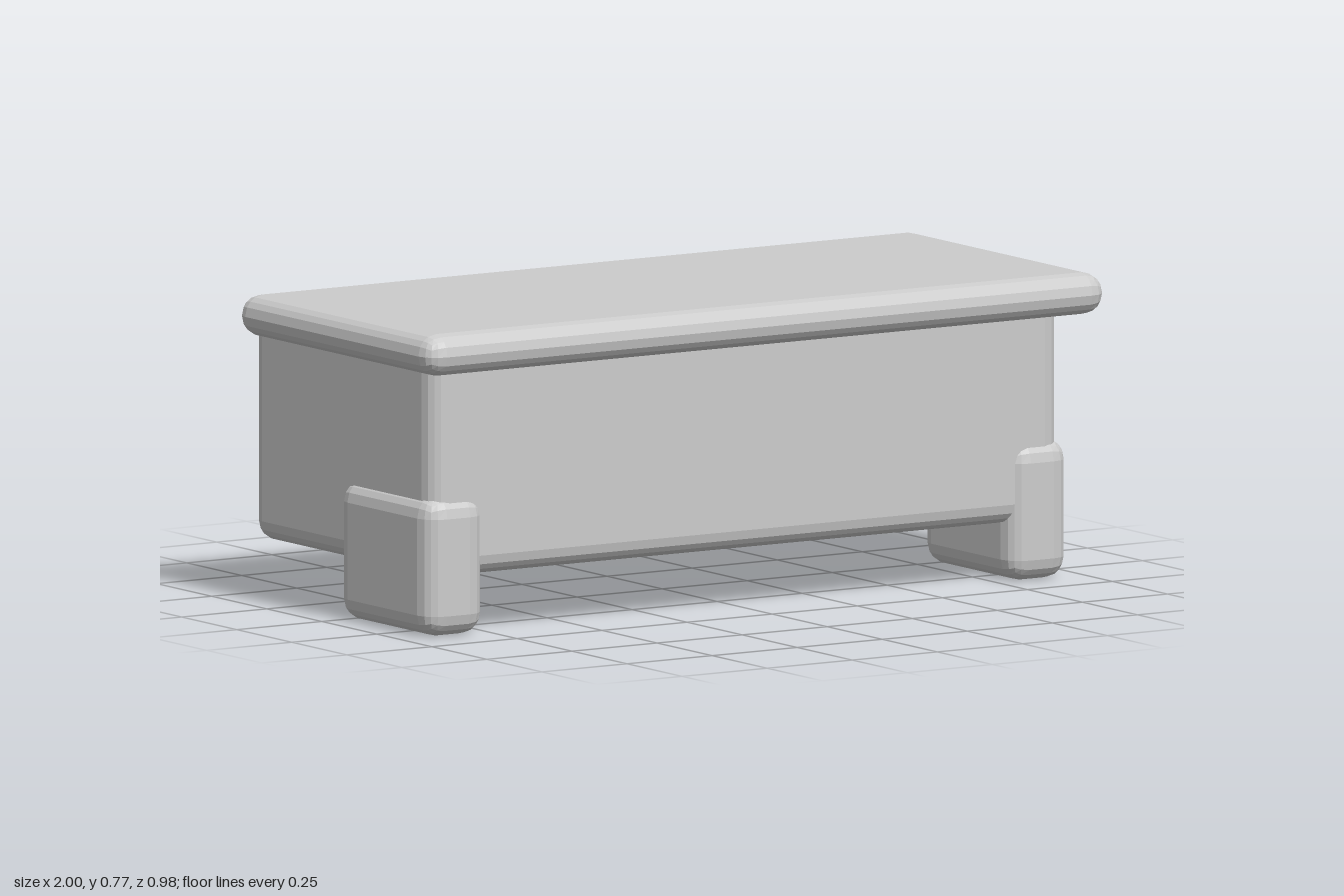
import * as THREE from 'three';
import { RoundedBoxGeometry } from 'three/addons/geometries/RoundedBoxGeometry.js';

export function createModel() {
  const group = new THREE.Group();
  const grey = new THREE.MeshStandardMaterial({ color: 0xcccccc, flatShading: true });
  grey.name = 'lightGrey';

  // Rounded block given by its lower and upper corners
  function block(name, [x0, y0, z0], [x1, y1, z1], radius) {
    const geometry = new RoundedBoxGeometry(x1 - x0, y1 - y0, z1 - z0, 2, radius);
    const mesh = new THREE.Mesh(geometry, grey);
    mesh.name = name;
    mesh.position.set((x0 + x1) / 2, (y0 + y1) / 2, (z0 + z1) / 2);
    group.add(mesh);
  }

  // Main case with an overhanging top
  block('body', [-0.925, 0.145, -0.437], [0.925, 0.715, 0.387], 0.05);
  block('topSlab', [-1, 0.664, -0.4], [1, 0.768, 0.49], 0.052);

  // Raised bar across the back
  block('backBar', [-0.71, 0.342, -0.49], [0.71, 0.517, -0.42], 0.035);

  // Front feet wrapping the lower corners
  block('leftFoot', [0.77, 0, -0.023], [0.945, 0.35, 0.402], 0.054);
  block('rightFoot', [-0.945, 0, -0.023], [-0.77, 0.35, 0.402], 0.054);

  return group;
}
